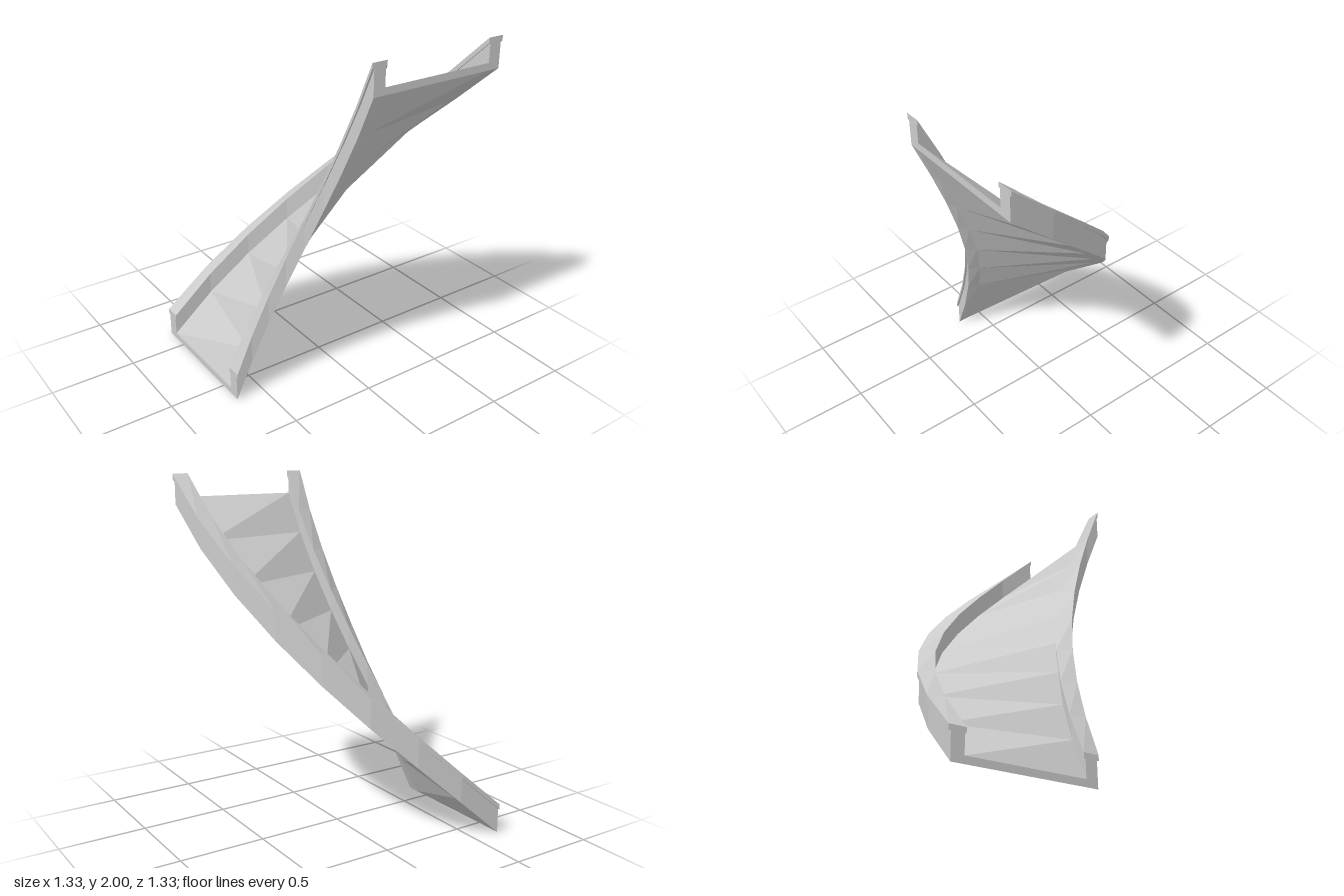
import * as THREE from 'three';

const STEPS = 8;              // segments in the quarter turn
const RISE = 1.828 / STEPS;   // climb per segment
const CENTRE = 0.667;         // turning axis at x = z = CENTRE

// Point at radius r on segment line i, y above the ramp's underside
function point(r, i, y) {
  const a = (i / STEPS) * Math.PI / 2;
  return [CENTRE - r * Math.cos(a), y + RISE * i, CENTRE - r * Math.sin(a)];
}

// Sweeps a rectangular section (r0..r1, y0..y1) round the climbing quarter turn
function sweep(name, material, r0, r1, y0, y1) {
  const positions = [];
  const quad = (a, b, c, d) => positions.push(...a, ...b, ...c, ...a, ...c, ...d);
  const section = (i) => ({
    inLow: point(r0, i, y0), inHigh: point(r0, i, y1),
    outLow: point(r1, i, y0), outHigh: point(r1, i, y1),
  });
  for (let i = 0; i < STEPS; i++) {
    const p = section(i), q = section(i + 1);
    quad(p.outLow, p.outHigh, q.outHigh, q.outLow);   // outer side
    quad(p.inLow, q.inLow, q.inHigh, p.inHigh);       // inner side
    quad(q.inHigh, q.outHigh, p.outHigh, p.inHigh);   // top
    quad(p.inLow, p.outLow, q.outLow, q.inLow);       // underside
  }
  // End faces
  const s = section(0), e = section(STEPS);
  quad(s.outLow, s.inLow, s.inHigh, s.outHigh);
  quad(e.outLow, e.outHigh, e.inHigh, e.inLow);

  const geometry = new THREE.BufferGeometry();
  geometry.setAttribute('position', new THREE.Float32BufferAttribute(positions, 3));
  geometry.computeVertexNormals();
  const mesh = new THREE.Mesh(geometry, material);
  mesh.name = name;
  return mesh;
}

export function createModel() {
  const group = new THREE.Group();
  group.name = 'curvedRamp';
  const material = new THREE.MeshStandardMaterial({ color: 0xcccccc, flatShading: true });

  group.add(
    sweep('floor', material, 0.58, 1.25, 0, 0.04),
    // Side walls
    sweep('innerWall', material, 0.511, 0.58, 0, 0.145),
    sweep('outerWall', material, 1.25, 1.322, 0, 0.145),
    // Wider rails capping the walls
    sweep('innerRail', material, 0.499, 0.589, 0.142, 0.172),
    sweep('outerRail', material, 1.241, 1.334, 0.142, 0.172),
  );
  return group;
}
